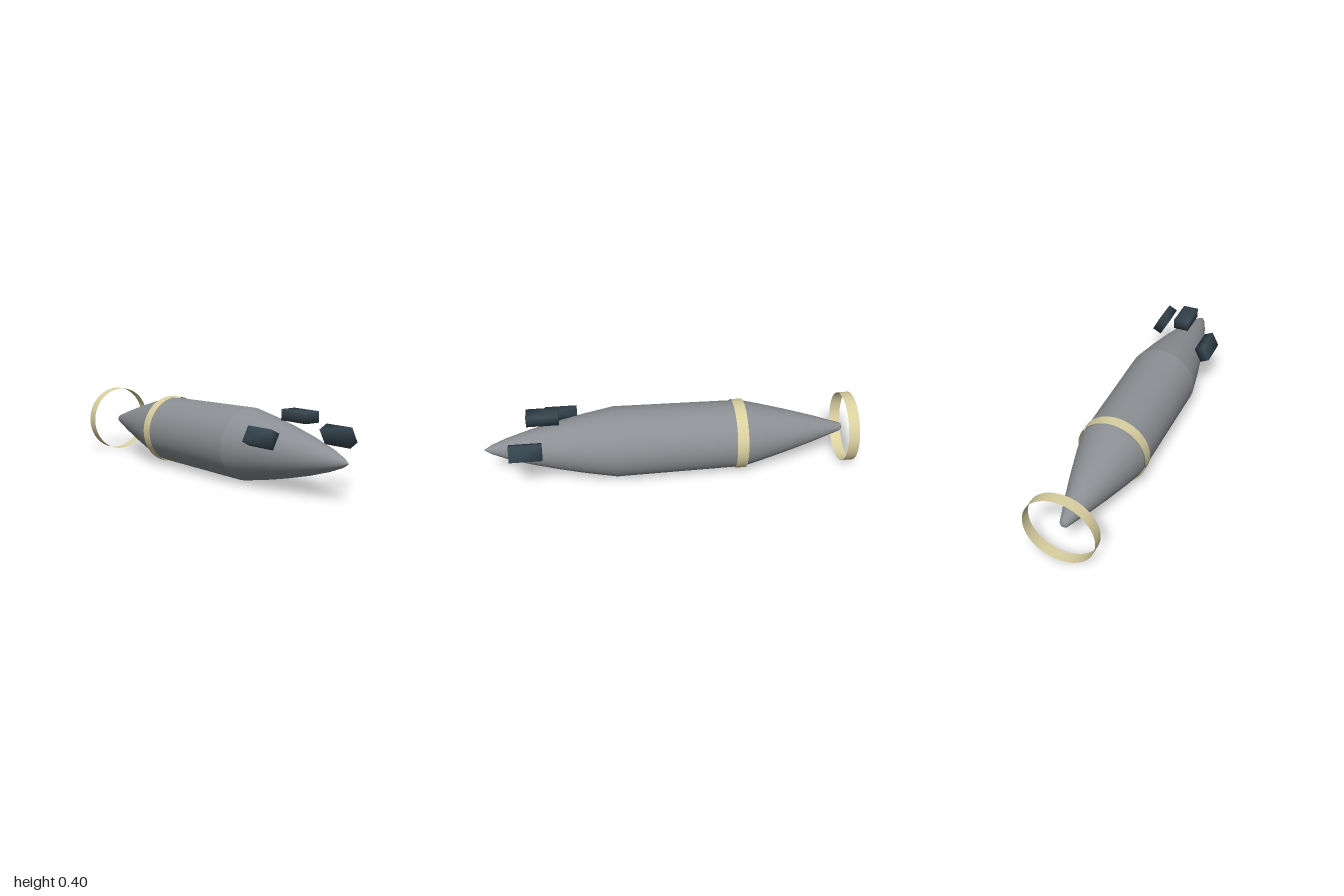
import * as THREE from 'three';
import { mergeVertices } from 'three/addons/utils/BufferGeometryUtils.js';

const AXIS_Y = 0.193;

export function createModel() {
  const hullGrey = new THREE.MeshStandardMaterial({ color: 0x8c8f93 });
  hullGrey.name = 'hullGrey';
  const ringSand = new THREE.MeshStandardMaterial({ color: 0xd9cfa0, side: THREE.DoubleSide });
  ringSand.name = 'ringSand';
  const podSlate = new THREE.MeshStandardMaterial({ color: 0x36454f });
  podSlate.name = 'podSlate';

  const model = new THREE.Group();
  model.name = 'spindleCraft';
  const add = (name, geometry, material) => {
    const mesh = new THREE.Mesh(geometry, material);
    mesh.name = name;
    model.add(mesh);
    return mesh;
  };

  // Hull: three turned sections along x, split where the profile creases
  const sections = {
    tailCone: [[-0.95, 0], [-0.948, 0.014], [-0.94, 0.022], [-0.8, 0.068], [-0.65, 0.113], [-0.5, 0.154], [-0.4, 0.179]],
    midHull: [[-0.4, 0.179], [-0.36, 0.182], [0.3, 0.19]],
    noseCone: [[0.3, 0.19], [0.45, 0.163], [0.6, 0.131], [0.75, 0.094], [0.88, 0.055], [0.96, 0.024], [1, 0]],
  };
  for (const [name, profile] of Object.entries(sections)) {
    const points = profile.map(([x, r]) => new THREE.Vector2(r, x));
    const geometry = new THREE.LatheGeometry(points, 64);
    geometry.rotateZ(-Math.PI / 2);
    add(name, geometry, hullGrey).position.y = AXIS_Y;
  }

  // Thin open bands: one floating round the tail tip, one hugging the hull
  for (const [name, x] of [['tailRing', -0.97], ['hullRing', -0.37]]) {
    const geometry = new THREE.CylinderGeometry(0.188, 0.188, 0.06, 64, 1, true);
    geometry.rotateZ(Math.PI / 2);
    add(name, geometry, ringSand).position.set(x, AXIS_Y, 0);
  }

  // Pods staggered round the nose, softly shaded across shared corners
  const box = new THREE.BoxGeometry(0.17, 0.055, 0.086);
  box.deleteAttribute('normal');
  box.deleteAttribute('uv');
  const podGeometry = mergeVertices(box);
  podGeometry.computeVertexNormals();
  const pods = [['leftSidePod', 0.77, -1.1], ['topPod', 0.675, 0], ['frontSidePod', 0.58, 1.1]];
  for (const [name, x, angle] of pods) {
    const pod = add(name, podGeometry, podSlate);
    pod.position.set(x, AXIS_Y + 0.187 * Math.cos(angle), 0.187 * Math.sin(angle));
    pod.rotation.x = angle;
  }

  return model;
}
